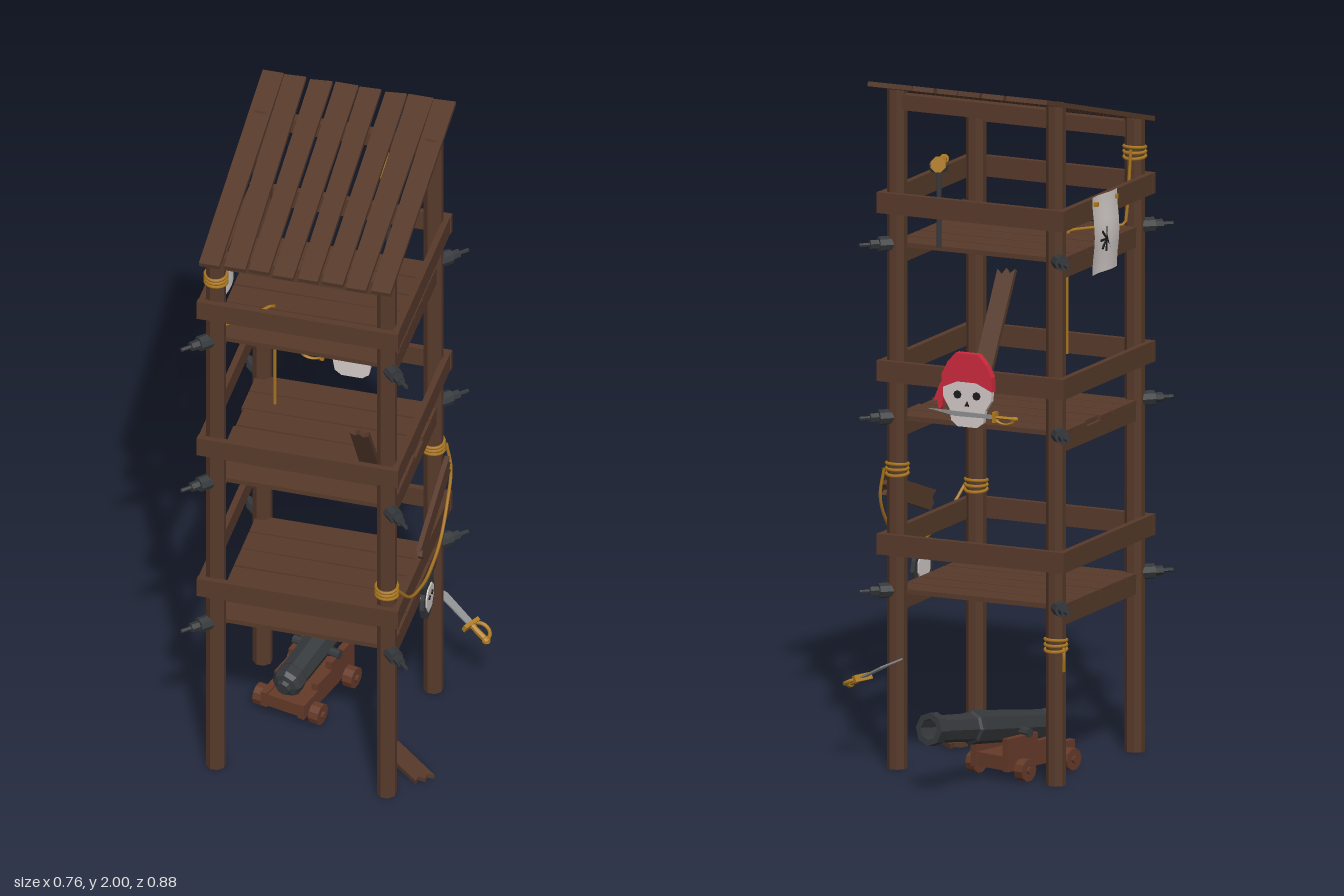
import * as THREE from 'three';

const mat = (name, color) => {
  const m = new THREE.MeshStandardMaterial({ color, side: THREE.DoubleSide });
  m.name = name;
  return m;
};
const V = (x, y, z) => new THREE.Vector3(x, y, z);

export function createModel() {
  const wood = mat('darkWood', 0x573a2b);
  const redWood = mat('carriageWood', 0x643a29);
  const iron = mat('iron', 0x35383b);
  const rope = mat('ropeGold', 0xa9761f);
  const brass = mat('brass', 0xb07c22);
  const bone = mat('bone', 0xd2cac7);
  const red = mat('redCloth', 0xcb2a3c);
  const steel = mat('steel', 0x8e9092);
  const black = mat('black', 0x1c1c1e);

  const model = new THREE.Group();
  const flat = (g) => {
    const f = g.index ? g.toNonIndexed() : g;
    f.computeVertexNormals();
    return f;
  };
  const add = (name, geo, m, pos = [0, 0, 0], rot = [0, 0, 0], parent = model) => {
    const mesh = new THREE.Mesh(geo, m);
    mesh.name = name;
    mesh.position.set(...pos);
    mesh.rotation.set(...rot);
    parent.add(mesh);
    return mesh;
  };
  const box = (name, w, h, d, m, pos, rot, parent) => add(name, new THREE.BoxGeometry(w, h, d), m, pos, rot, parent);
  // Faceted rod between two points
  const rod = (name, a, b, r0, r1, m, sides = 8, parent = model) => {
    const d = b.clone().sub(a);
    const mesh = add(name, flat(new THREE.CylinderGeometry(r1, r0, d.length(), sides)), m, [0, 0, 0], [0, 0, 0], parent);
    mesh.position.copy(a).add(b).multiplyScalar(0.5);
    mesh.quaternion.setFromUnitVectors(V(0, 1, 0), d.normalize());
    return mesh;
  };
  const shape = (pts) => new THREE.Shape(pts.map(([x, y]) => new THREE.Vector2(x, y)));
  // Extruded outline centred on its thickness
  const slab = (pts, depth) => new THREE.ExtrudeGeometry(shape(pts), { depth, bevelEnabled: false }).translate(0, 0, -depth / 2);
  const tube = (name, pts, r = 0.005, smooth = true) => add(name,
    new THREE.TubeGeometry(new THREE.CatmullRomCurve3(pts, false, 'catmullrom', smooth ? 0.5 : 0.05), 40, r, 6), rope);

  const X = [-0.297, 0.202], Z = [0.347, -0.153], CX = -0.048, CZ = 0.097;
  const levels = [0.51, 1.01, 1.51];

  // Posts, with iron bolts driven out diagonally at every floor
  X.forEach((x, i) => Z.forEach((z, j) => {
    const h = j ? 1.965 : 1.83;
    const sx = i ? 1 : -1, sz = j ? -1 : 1;
    add('post', flat(new THREE.CylinderGeometry(0.0285, 0.0285, h, 8).rotateY(Math.PI / 8)), wood, [x, h / 2, z]);
    for (const y of levels) {
      const at = (d) => V(x + sx * d, y + 0.005, z + sz * d);
      rod('boltCollar', at(0.012), at(0.04), 0.022, 0.022, iron, 8);
      rod('boltNut', at(0.04), at(0.058), 0.014, 0.014, iron, 6);
      rod('boltSpike', at(0.05), at(0.08), 0.006, 0.006, iron, 6);
    }
  }));

  // Floors: joists, planks and the railing above
  levels.forEach((y, n) => {
    for (const x of X) box('joist', 0.03, 0.045, 0.5, wood, [x, y - 0.03, CZ]);
    for (let k = 0; k < 6; k++) {
      const short = n === 1 && k === 3 ? 0.02 : 0;
      box('floorPlank', 0.53 - short, 0.014, 0.077, wood, [CX, y, CZ + 0.205 - k * 0.082], [0, (k % 3 - 1) * 0.006, 0]);
    }
    const ry = y + (n === 2 ? 0.125 : 0.14);
    for (const s of [-1, 1]) {
      box('railLong', 0.588, 0.06, 0.018, wood, [CX, ry, CZ + s * 0.283]);
      box('railSide', 0.018, 0.06, 0.576, wood, [CX + s * 0.283, ry, 0.093]);
    }
  });
  box('frontRoofBeam', 0.5, 0.045, 0.03, wood, [CX, 1.795, Z[0]]);
  box('backRoofBeam', 0.5, 0.045, 0.03, wood, [CX, 1.925, Z[1]]);

  // Sloping roof of slightly tapered planks: back left, back right, front left, front right
  const roof = new THREE.Group();
  roof.name = 'roof';
  roof.position.set(0, 1.905, 0.066);
  roof.rotation.x = -Math.PI / 2 + 0.257;
  model.add(roof);
  [[-0.33, -0.268, -0.33, -0.27], [-0.266, -0.203, -0.257, -0.195], [-0.19, -0.126, -0.186, -0.127],
    [-0.117, -0.05, -0.115, -0.055], [-0.046, 0.016, -0.041, 0.016], [0.03, 0.092, 0.027, 0.089],
    [0.096, 0.169, 0.098, 0.158], [0.17, 0.234, 0.172, 0.229]].forEach(([a, b, c, d], i) => {
    const e = (i % 3) * 0.003;
    add('roofPlank', slab([[c, -0.354 + e], [d, -0.354 + e], [b, 0.354], [a, 0.354 - e]], 0.014), wood, [0, 0, 0], [0, 0, 0], roof);
  });

  // Broken planks with splintered ends, lying along their local y
  const brokenPlank = (name, len, w, pos, rot) => {
    const h = len / 2, u = w / 2;
    add(name, slab([[-u, -h], [-u * 0.3, -h + 0.02], [u * 0.2, -h + 0.005], [u, -h + 0.015], [u, h - 0.005],
      [u * 0.4, h - 0.02], [0, h], [-u * 0.5, h - 0.015], [-u, h]], 0.014), wood, pos, rot).rotation.order = 'YXZ';
  };
  brokenPlank('groundPlank', 0.19, 0.06, [0.225, 0.009, 0.212], [-Math.PI / 2, Math.PI + 0.84, 0]);
  brokenPlank('leaningPlank', 0.36, 0.055, [0.145, 1.175, 0.34], [0.52, 0, 0]);
  brokenPlank('hangingPlank', 0.33, 0.06, [0.245, 0.76, 0.003], [0, Math.PI / 2, -1.24]);

  // Rope lashings around the posts
  const lash = (x, y, z) => [-1, 0, 1].forEach((k) =>
    add('ropeLashing', new THREE.TorusGeometry(0.031, 0.005, 6, 16), rope, [x, y + k * 0.014, z], [Math.PI / 2 + k * 0.1, 0, 0]));
  lash(X[1], 0.72, Z[0]);
  lash(X[1], 0.865, Z[1]);
  lash(X[0], 1.73, Z[0]);
  lash(X[0], 0.405, Z[1]);
  tube('lashingTail', [V(-0.325, 0.4, -0.16), V(-0.328, 0.37, -0.165), V(-0.325, 0.33, -0.16)]);
  tube('saggingRope', [V(0.235, 0.72, 0.345), V(0.252, 0.655, 0.28), V(0.255, 0.612, 0.17), V(0.255, 0.6, 0.08),
    V(0.255, 0.625, -0.03), V(0.252, 0.7, -0.12), V(0.25, 0.78, -0.165), V(0.235, 0.865, -0.17)]);
  tube('hangingRope', [V(-0.3, 1.74, 0.315), V(-0.295, 1.6, 0.308), V(-0.29, 1.527, 0.3), V(-0.23, 1.525, 0.24),
    V(-0.178, 1.525, 0.168), V(-0.175, 1.49, 0.163), V(-0.175, 1.3, 0.163), V(-0.175, 1.17, 0.163)], 0.005, false);

  // Cannon on its carriage
  const cannon = new THREE.Group();
  cannon.name = 'cannon';
  cannon.position.set(-0.135, 0, -0.03);
  cannon.rotation.y = -0.247;
  model.add(cannon);
  const profile = [[0, 0], [0.02, 0], [0.024, 0.012], [0.038, 0.016], [0.046, 0.03], [0.046, 0.06], [0.043, 0.065], [0.049, 0.36],
    [0.049, 0.375], [0.041, 0.38], [0.039, 0.52], [0.048, 0.525], [0.048, 0.557], [0.03, 0.557], [0.03, 0.45], [0, 0.45]];
  const barrel = add('cannonBarrel', flat(new THREE.LatheGeometry(profile.map((p) => new THREE.Vector2(...p)), 8)), iron,
    [0, 0.113, 0.14], [0, 0, 0], cannon);
  barrel.quaternion.setFromUnitVectors(V(0, 1, 0), V(0, 0.075, -0.55).normalize());
  rod('trunnion', V(-0.075, 0.13, -0.06), V(0.075, 0.13, -0.06), 0.014, 0.014, iron, 8, cannon);
  box('carriageBed', 0.12, 0.04, 0.28, redWood, [0, 0.052, -0.005], [0, 0, 0], cannon);
  for (const s of [-1, 1]) {
    add('carriageCheek', slab([[-0.14, 0.03], [0.15, 0.03], [0.15, 0.125], [0.02, 0.125], [0.02, 0.1],
      [-0.06, 0.1], [-0.06, 0.078], [-0.14, 0.078]], 0.02), redWood, [s * 0.06, 0, 0], [0, Math.PI / 2, 0], cannon);
    for (const z of [-0.1, 0.095]) {
      rod('wheel', V(s * 0.075, 0.032, z), V(s * 0.105, 0.032, z), 0.032, 0.032, redWood, 10, cannon);
      rod('axleCap', V(s * 0.1, 0.032, z), V(s * 0.113, 0.032, z), 0.011, 0.011, redWood, 8, cannon);
    }
  }

  // Cutlass: blade along local +x, built on a slim outline
  const cutlass = (name, blade) => {
    const g = new THREE.Group();
    g.name = name;
    add('blade', slab([[0, -0.012], [blade * 0.6, -0.016], [blade, 0.012], [blade * 0.7, 0.012], [0, 0.01]], 0.005), steel, [0, 0, 0], [0, 0, 0], g);
    box('crossGuard', 0.012, 0.06, 0.02, brass, [0, 0, 0], [0, 0, 0], g);
    rod('grip', V(0, 0, 0), V(-0.06, 0, 0), 0.009, 0.009, brass, 6, g);
    add('knuckleGuard', new THREE.TorusGeometry(0.03, 0.006, 6, 10, Math.PI), brass, [-0.032, -0.006, 0], [0, 0, Math.PI], g);
    add('pommel', flat(new THREE.SphereGeometry(0.013, 6, 5)), brass, [-0.064, 0, 0], [0, 0, 0], g);
    model.add(g);
    return g;
  };
  const stuck = cutlass('stuckCutlass', 0.19);
  stuck.position.set(0.312, 0.25, -0.152);
  stuck.quaternion.setFromUnitVectors(V(1, 0, 0), V(-0.16, 0.085, -0.08).normalize());
  const bitten = cutlass('bittenCutlass', 0.22);
  bitten.position.set(-0.143, 1.06, -0.228);
  bitten.scale.set(0.95, 0.5, 0.9);

  // Bandana skull on the back rail
  const skull = new THREE.Group();
  skull.name = 'bandanaSkull';
  skull.position.set(-0.05, 1.12, -0.21);
  model.add(skull);
  const mirror = (half) => [...half, ...half.map(([x, y]) => [-x, y]).reverse()];
  add('skullFace', slab(mirror([[0.03, -0.1], [0.05, -0.085], [0.056, -0.05], [0.075, -0.02], [0.078, 0.03], [0.06, 0.06]]), 0.016), bone,
    [0, 0, 0], [0, 0, 0], skull);
  add('bandana', slab(mirror([[0.03, 0.03], [0.08, 0.008], [0.078, 0.05], [0.06, 0.085], [0.035, 0.112]]), 0.024), red,
    [0, 0, 0], [0, 0, 0], skull);
  add('bandanaTail', slab([[0.07, 0.02], [0.086, 0.02], [0.108, -0.035], [0.095, -0.03], [0.09, -0.06], [0.08, -0.05]], 0.014), red,
    [0, 0, 0], [0, 0, 0], skull);
  for (const s of [-1, 1]) add('eye', new THREE.CylinderGeometry(0.012, 0.012, 0.004, 8), black, [s * 0.03, -0.008, -0.009], [Math.PI / 2, 0, 0], skull);
  add('nose', slab([[-0.007, -0.04], [0.007, -0.04], [0, -0.025]], 0.004), black, [0, 0, -0.009], [0, 0, 0], skull);

  // Hooded skull charm hanging from the sagging rope
  const charm = new THREE.Group();
  charm.name = 'skullCharm';
  charm.position.set(0.253, 0.53, 0.103);
  charm.rotation.y = Math.PI / 2;
  model.add(charm);
  add('charmFrame', slab(mirror([[0.015, -0.072], [0.045, -0.048], [0.06, -0.01], [0.052, 0.02], [0.045, 0.035], [0.06, 0.068], [0.03, 0.06]]), 0.012), iron,
    [0, 0, 0], [0, 0, 0], charm);
  add('charmFace', slab(mirror([[0.018, -0.045], [0.037, -0.015], [0.037, 0.015], [0.02, 0.035]]), 0.02), bone, [0, 0, 0], [0, 0, 0], charm);
  for (const s of [-1, 1]) add('charmEye', new THREE.CylinderGeometry(0.007, 0.007, 0.004, 8), black, [s * 0.014, 0.005, 0.011], [Math.PI / 2, 0, 0], charm);

  // Curled sheet hung outside the top rail, with a dark burst mark
  const sheet = new THREE.PlaneGeometry(0.155, 0.225, 8, 6);
  const p = sheet.attributes.position;
  for (let i = 0; i < p.count; i++) p.setZ(i, 0.004 * Math.sin(p.getX(i) * 40) + 0.004 * Math.cos(p.getY(i) * 30));
  sheet.computeVertexNormals();
  add('hungSheet', sheet, bone, [-0.35, 1.558, 0.057], [0, -Math.PI / 2, 0]);
  for (let k = 0; k < 4; k++) box('burstMark', 0.004, 0.006, 0.07, black, [-0.352, 1.54, 0.057], [k * Math.PI / 4, 0, 0]);
  for (const z of [-0.005, 0.12]) box('sheetPin', 0.012, 0.012, 0.012, brass, [-0.35, 1.65, z]);

  // Telescope on its stand
  rod('telescopePole', V(0.07, 1.515, -0.155), V(0.07, 1.745, -0.155), 0.008, 0.008, iron, 8);
  rod('telescopeMount', V(0.07, 1.735, -0.155), V(0.07, 1.755, -0.155), 0.025, 0.03, iron, 8);
  const eyeEnd = V(0.1, 1.75, -0.06), lensEnd = V(0.02, 1.779, -0.262);
  [[0, 0.5, 0.009], [0.4, 0.75, 0.014], [0.66, 0.96, 0.019], [0.9, 1, 0.023], [0, 0.07, 0.014]].forEach(([a, b, r]) =>
    rod('telescope', eyeEnd.clone().lerp(lensEnd, a), eyeEnd.clone().lerp(lensEnd, b), r, r, brass, 8));

  return model;
}
